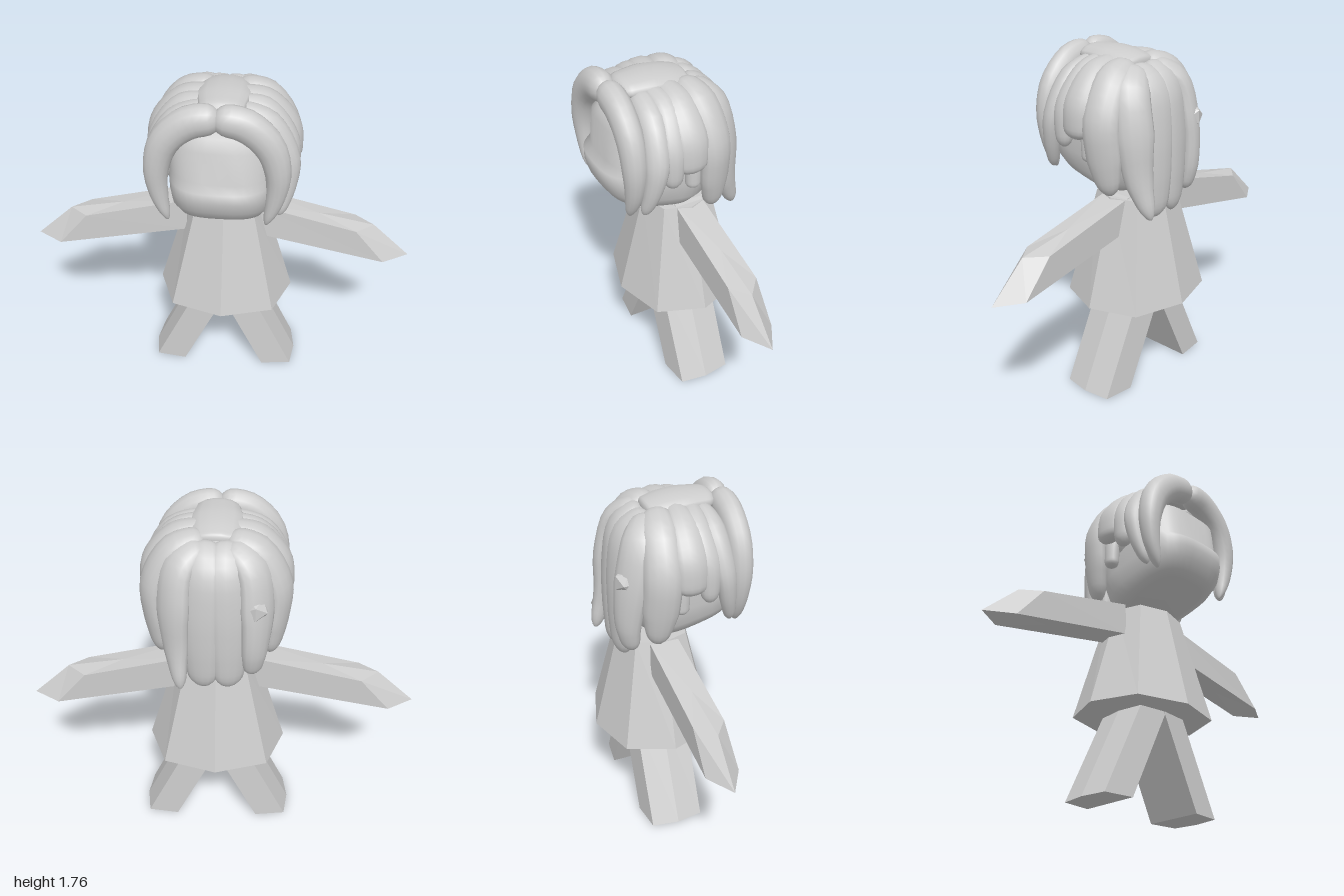
import * as THREE from 'three';

const CX = 0.03; // middle line of body and head
const grey = new THREE.MeshStandardMaterial({ color: 0xcccccc });
grey.name = 'plain grey';

// Skin over closed rings of points (counter-clockwise about the direction of travel)
function loft(rings, flat) {
  const n = rings[0].length, pos = rings.flat(2), idx = [];
  for (let i = 0; i < rings.length - 1; i++) {
    for (let j = 0; j < n; j++) {
      const k = (j + 1) % n, a = i * n + j, b = i * n + k;
      idx.push(a, b, a + n, b, b + n, a + n);
    }
  }
  [0, rings.length - 1].forEach((r, end) => {
    const c = [0, 1, 2].map(d => rings[r].reduce((s, p) => s + p[d], 0) / n);
    const m = pos.length / 3;
    pos.push(...c);
    for (let j = 0; j < n; j++) {
      const a = r * n + j, b = r * n + (j + 1) % n;
      idx.push(...(end ? [m, a, b] : [m, b, a]));
    }
  });
  let g = new THREE.BufferGeometry();
  g.setAttribute('position', new THREE.Float32BufferAttribute(pos, 3));
  g.setIndex(idx);
  if (flat) g = g.toNonIndexed();
  g.computeVertexNormals();
  return g;
}

const mirror = (rings, cx) => rings.map(r => r.map(([x, y, z]) => [2 * cx - x, y, z]).reverse());

// Tapered lock of hair; points are [x offset, y, z, half width, half depth]
function lockRings(points, centre) {
  const curve = new THREE.CatmullRomCurve3(points.map(p => new THREE.Vector3(p[0] + centre.x, p[1], p[2])));
  const steps = 24, sides = 14, rings = [];
  for (let i = 0; i <= steps; i++) {
    const t = (1 - Math.cos(Math.PI * i / steps)) / 2;
    const p = curve.getPoint(t), T = curve.getTangent(t);
    const O = p.clone().sub(centre);
    O.addScaledVector(T, -O.dot(T)).normalize();
    const S = O.clone().cross(T);
    const f = t * (points.length - 1), k = Math.min(Math.floor(f), points.length - 2);
    const e = 1 - Math.min(1, t / 0.1, (1 - t) / 0.1);
    const round = Math.max(0.04, Math.sqrt(1 - e * e));
    const w = THREE.MathUtils.lerp(points[k][3], points[k + 1][3], f - k) * round;
    const d = THREE.MathUtils.lerp(points[k][4], points[k + 1][4], f - k) * round;
    rings.push(Array.from({ length: sides }, (_, j) => {
      const a = j / sides * Math.PI * 2;
      return p.clone().addScaledVector(S, w * Math.cos(a)).addScaledVector(O, d * Math.sin(a)).toArray();
    }));
  }
  return rings;
}

export function createModel() {
  const model = new THREE.Group();
  model.name = 'figure';
  const add = (name, geometry) => {
    const m = new THREE.Mesh(geometry, grey);
    m.name = name;
    model.add(m);
    return m;
  };

  // Eight-sided dress
  const octagon = (y, rx, rz, dx, dz) => [[0, rz], [dx, dz], [rx, 0], [dx, -dz], [0, -rz], [-dx, -dz], [-rx, 0], [-dx, dz]]
    .map(([x, z]) => [CX + x, y, z - 0.063]);
  add('dress', loft([octagon(0.48, 0.36, 0.318, 0.268, 0.238), octagon(1.04, 0.195, 0.18, 0.15, 0.135)], true));

  // Splayed legs with a bevelled outer side
  const legRing = (y, x) => [[0, 0.098], [0.16, 0.078], [0.18, -0.06], [0.16, -0.2], [0, -0.22]]
    .map(([dx, z]) => [x + dx, y, z]);
  const leg = [legRing(0, 0.25), legRing(0.56, -0.015)];
  add('leftLeg', loft(leg, true));
  add('rightLeg', loft(mirror(leg, CX), true));

  // Sloping arms with wedge-shaped ends, lofted from the underside to the top
  const armRing = (root, end, front, tip, z) => [[0.17, root, z], [front, end, z + 0.008],
    [tip, end, -0.055], [front, end, -0.138], [0.17, root, -0.14]];
  const arm = [armRing(0.873, 0.735, 0.865, 1.0, 0.02), armRing(1.045, 0.915, 0.71, 0.805, 0.01)];
  add('leftArm', loft(arm, true));
  add('rightArm', loft(mirror(arm, 0), true));

  // Head: rounded-square slices, tilted towards the chin
  // [height, front z, back z, half width, tilt]
  const slices = [
    [1.105, 0.28, -0.06, 0.16, 0.25], [1.115, 0.33, -0.11, 0.21, 0.25], [1.17, 0.367, -0.17, 0.245, 0.22],
    [1.25, 0.383, -0.21, 0.257, 0.13], [1.33, 0.383, -0.22, 0.26, 0.03], [1.37, 0.345, -0.22, 0.26, 0],
    [1.53, 0.33, -0.22, 0.255, 0], [1.58, 0.28, -0.18, 0.21, 0], [1.62, 0.18, -0.1, 0.12, 0]];
  const power = v => Math.sign(v) * Math.abs(v) ** 0.68;
  add('head', loft(slices.map(([y, f, b, w, tilt]) => Array.from({ length: 40 }, (_, j) => {
    const a = j / 40 * Math.PI * 2;
    const z = (f + b) / 2 + (f - b) / 2 * power(Math.cos(a));
    return [CX + w * power(Math.sin(a)), y + tilt * (z - 0.1), z];
  }))));

  // Hair base
  const cap = add('hairCap', new THREE.SphereGeometry(1, 32, 20));
  cap.scale.set(0.31, 0.25, 0.26);
  cap.position.set(CX, 1.46, -0.01);

  // Fringe parted in the middle
  const fringe = lockRings([[-0.02, 1.695, 0.29, 0.075, 0.065], [0.13, 1.665, 0.29, 0.08, 0.065], [0.24, 1.565, 0.29, 0.075, 0.065],
    [0.285, 1.42, 0.29, 0.062, 0.06], [0.275, 1.27, 0.29, 0.045, 0.045], [0.235, 1.13, 0.295, 0.018, 0.025]],
    new THREE.Vector3(0.015, 1.4, -6));
  add('leftFringe', loft(fringe));
  add('rightFringe', loft(mirror(fringe, 0.015)));

  // Locks of hair, mirrored in pairs
  const middle = new THREE.Vector3(CX, 1.4, 0.02);
  const locks = {
    TempleLock: [[0.05, 1.68, 0.17, 0.06, 0.05], [0.22, 1.62, 0.18, 0.065, 0.05], [0.32, 1.45, 0.2, 0.06, 0.045],
      [0.315, 1.3, 0.22, 0.045, 0.04], [0.28, 1.16, 0.25, 0.025, 0.025]],
    CheekLock: [[0.05, 1.68, 0.12, 0.055, 0.05], [0.2, 1.65, 0.1, 0.065, 0.05], [0.31, 1.5, 0.12, 0.065, 0.05], [0.325, 1.3, 0.12, 0.045, 0.04]],
    SideLock: [[0.05, 1.69, 0.04, 0.06, 0.045], [0.2, 1.66, 0.03, 0.08, 0.05], [0.315, 1.53, 0.025, 0.088, 0.05], [0.335, 1.36, 0.025, 0.08, 0.045]],
    InnerLock: [[0.25, 1.5, -0.01, 0.045, 0.04], [0.28, 1.38, -0.01, 0.045, 0.04], [0.285, 1.24, -0.01, 0.038, 0.035]],
    EarLock: [[0.05, 1.69, -0.06, 0.07, 0.05], [0.2, 1.64, -0.09, 0.09, 0.06], [0.3, 1.47, -0.11, 0.095, 0.06],
      [0.295, 1.28, -0.12, 0.09, 0.055], [0.265, 1.09, -0.13, 0.05, 0.04]],
    BackLock: [[0.06, 1.68, -0.08, 0.08, 0.05], [0.06, 1.6, -0.2, 0.1, 0.05], [0.07, 1.4, -0.24, 0.105, 0.05],
      [0.07, 1.17, -0.245, 0.095, 0.05], [0.065, 0.95, -0.24, 0.07, 0.04]],
  };
  for (const [name, points] of Object.entries(locks)) {
    const rings = lockRings(points, middle);
    add('left' + name, loft(rings));
    add('right' + name, loft(mirror(rings, CX)));
  }

  // Back side locks: the left one is longer and flicks outwards
  const backSide = tip => lockRings([[0.06, 1.68, -0.1, 0.07, 0.05], [0.17, 1.6, -0.18, 0.09, 0.055],
    [0.2, 1.4, -0.23, 0.095, 0.055], [0.19, 1.17, -0.25, 0.07, 0.05], tip], middle);
  add('leftBackSideLock', loft(backSide([0.17, 0.98, -0.31, 0.03, 0.03])));
  add('rightBackSideLock', loft(mirror(backSide([0.18, 1.03, -0.23, 0.045, 0.035]), CX)));

  // Broad lock along the crown
  add('crownLock', loft(lockRings([[0, 1.67, -0.1, 0.11, 0.05], [0, 1.695, -0.01, 0.125, 0.05],
    [0, 1.705, 0.1, 0.13, 0.05], [0, 1.7, 0.26, 0.1, 0.045]], middle)));

  // Small faceted knob at the back of the hair
  const knob = add('hairKnob', new THREE.IcosahedronGeometry(0.065, 0));
  knob.position.set(-0.16, 1.42, -0.25);
  return model;
}
